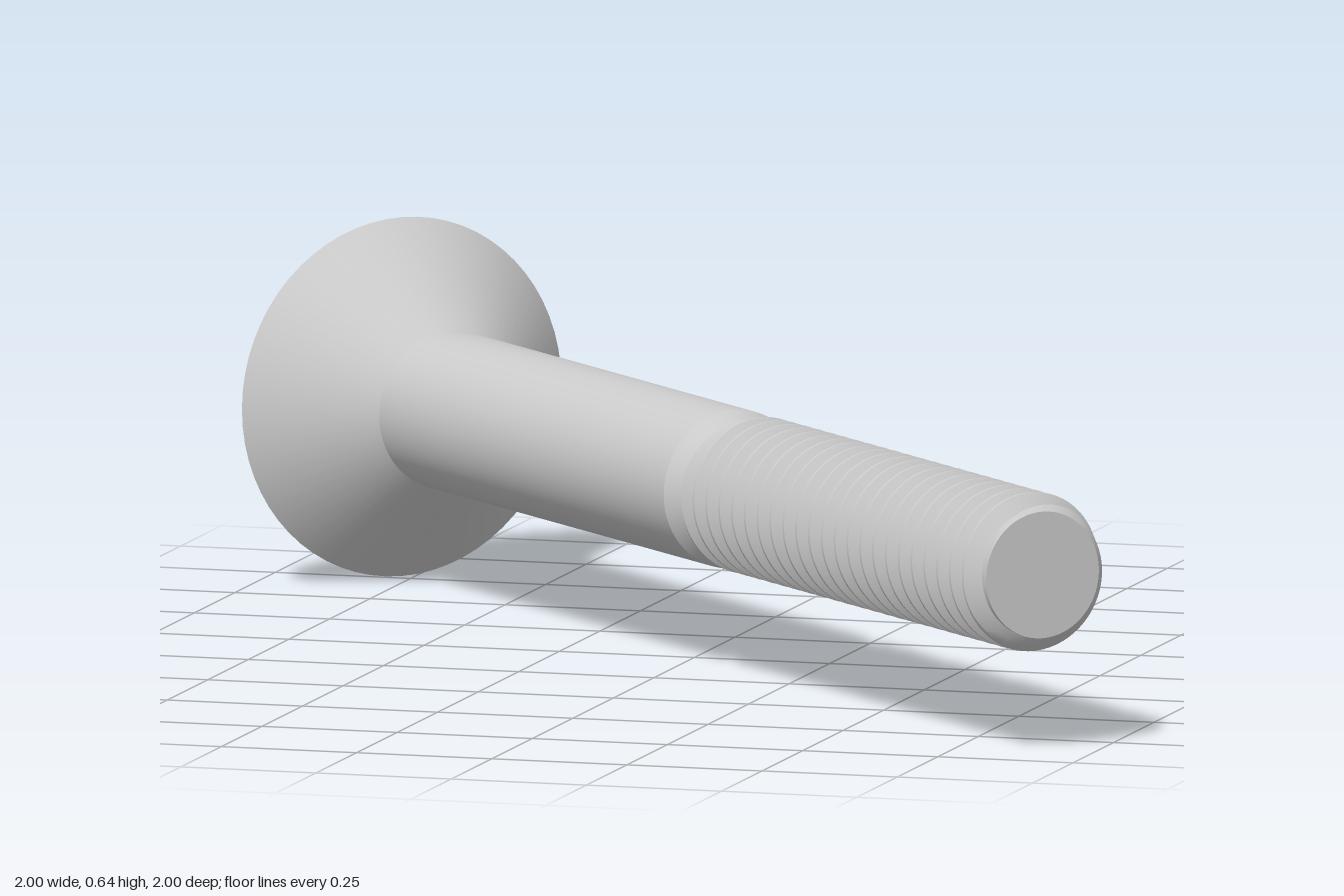
import * as THREE from 'three';
import { toCreasedNormals } from 'three/addons/utils/BufferGeometryUtils.js';

const SEG = 64;
const HEAD_R = 0.3215, SHANK_R = 0.142, ROOT_R = 0.1135;
const Z0 = -1.0935, Z1 = 1.3005;          // head face and tip along the bolt axis
const CONE_END = Z0 + HEAD_R - SHANK_R;   // 45 degree countersink
const SHANK_END = 0.149, THREAD_START = 0.185;
const PITCH = 0.0479;
const HEX_R = 0.1105, DRILL_R = 0.095, SOCKET_DEPTH = 0.12, DRILL_DEPTH = 0.2;

const material = new THREE.MeshStandardMaterial({ color: 0xcccccc });

function part(name, geometry) {
  const mesh = new THREE.Mesh(geometry, material);
  mesh.name = name;
  return mesh;
}

// Turned surface about the z axis from [radius, z] pairs
function turned(points, segments = SEG) {
  const g = new THREE.LatheGeometry(points.map(([r, z]) => new THREE.Vector2(r, z)), segments);
  return toCreasedNormals(g.rotateX(Math.PI / 2), 0.4);
}

// Regular polygon with one corner at the top
function polygon(radius, sides, PathType) {
  const pts = [];
  for (let i = 0; i < sides; i++) {
    const a = Math.PI / 2 + (i / sides) * Math.PI * 2;
    pts.push(new THREE.Vector2(radius * Math.cos(a), radius * Math.sin(a)));
  }
  return new PathType(pts);
}

// Flat face with a hole, looking towards -z
function holedFace(outerR, outerSides, innerR, innerSides, z) {
  const shape = polygon(outerR, outerSides, THREE.Shape);
  shape.holes.push(polygon(innerR, innerSides, THREE.Path));
  return new THREE.ShapeGeometry(shape).rotateY(Math.PI).translate(0, 0, z);
}

// Right-handed helical thread, faded in at the shank and chamfered at the tip
function threadGeometry() {
  const profile = [[0, 1], [0.125, 1], [0.302, 0.5], [0.479, 0], [0.646, 0], [0.823, 0.5]];
  const depth = SHANK_R - ROOT_R;
  const turns = Math.ceil((Z1 - THREAD_START) / PITCH) + 1;
  const rows = (turns + 1) * profile.length;
  const pos = [], idx = [];
  for (let j = 0; j <= rows; j++) {
    const [f, h] = profile[j % profile.length];
    const turn = Math.floor(j / profile.length) - 1;
    for (let i = 0; i <= SEG; i++) {
      const a = (i / SEG) * Math.PI * 2;
      const z = THREE.MathUtils.clamp(THREAD_START + PITCH * (turn + f + i / SEG), THREAD_START, Z1);
      const limit = ROOT_R + Math.min(z - THREAD_START, Z1 - z);
      const r = Math.min(ROOT_R + depth * h, limit);
      pos.push(r * Math.cos(a), r * Math.sin(a), z);
    }
  }
  const zOf = (k) => pos[k * 3 + 2];
  for (let j = 0; j < rows; j++) {
    for (let i = 0; i < SEG; i++) {
      const a = j * (SEG + 1) + i, b = a + 1, c = a + SEG + 1, d = c + 1;
      // drop the parts clamped flat at either end
      if (zOf(d) <= THREAD_START || zOf(a) >= Z1) continue;
      idx.push(a, b, d, a, d, c);
    }
  }
  const g = new THREE.BufferGeometry();
  g.setAttribute('position', new THREE.Float32BufferAttribute(pos, 3));
  g.setIndex(idx);
  return toCreasedNormals(g, 0.5);
}

export function createModel() {
  const bolt = new THREE.Group();
  bolt.name = 'countersunkBolt';

  // Head: flat face around a hexagonal socket, with a conical underside
  const head = new THREE.Group();
  head.name = 'head';
  head.add(
    part('headFace', holedFace(HEAD_R, SEG, HEX_R, 6, Z0)),
    part('headCone', turned([[HEAD_R, Z0], [SHANK_R, CONE_END]])),
    part('socketWalls', turned([[HEX_R, Z0 + SOCKET_DEPTH], [HEX_R, Z0]], 6)),
    part('socketLedge', holedFace(HEX_R, 6, DRILL_R, SEG, Z0 + SOCKET_DEPTH)),
    part('socketDrillPoint', turned([[0, Z0 + DRILL_DEPTH], [DRILL_R, Z0 + SOCKET_DEPTH]]))
  );

  // Plain shank with a run-out chamfer into the thread
  const shank = part('shank', turned([
    [SHANK_R, CONE_END], [SHANK_R, SHANK_END], [ROOT_R, THREAD_START],
  ]));

  const thread = part('thread', threadGeometry());
  const tip = part('tip', new THREE.CircleGeometry(ROOT_R, SEG).translate(0, 0, Z1));

  bolt.add(head, shank, thread, tip);

  // Lies diagonally, with the tip towards the front left
  bolt.rotation.y = Math.PI / 4;
  bolt.position.y = HEAD_R;

  const model = new THREE.Group();
  model.name = 'model';
  model.add(bolt);
  return model;
}
